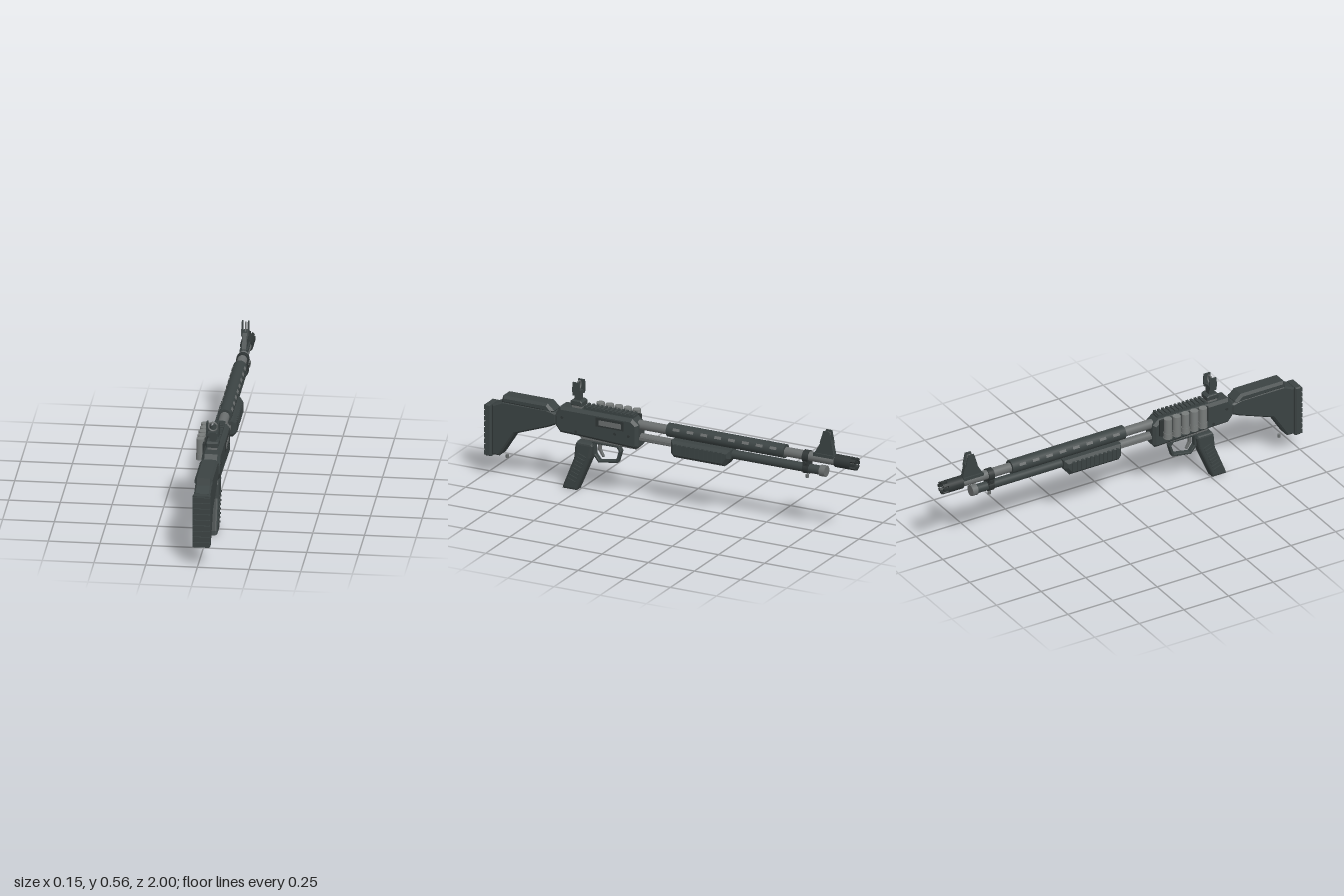
import * as THREE from 'three';

const CX = 0.018; // centre plane of the body
const mat = (name, color) => {
  const m = new THREE.MeshStandardMaterial({ color });
  m.name = name;
  return m;
};

export function createModel() {
  const root = new THREE.Group();
  const body = mat('darkPolymer', 0x3b4343);
  const dark = mat('blackSteel', 0x2f3535);
  const steel = mat('greySteel', 0x6a6e6e);
  const shellGrey = mat('shellGrey', 0x787c7b);

  const add = (name, geo, m, x = 0, y = 0, z = 0, parent = root) => {
    const mesh = new THREE.Mesh(geo, m);
    mesh.name = name;
    mesh.position.set(x, y, z);
    parent.add(mesh);
    return mesh;
  };
  const group = (name) => {
    const g = new THREE.Group();
    g.name = name;
    root.add(g);
    return g;
  };
  const box = (name, m, sx, sy, sz, x, y, z, parent) =>
    add(name, new THREE.BoxGeometry(sx, sy, sz), m, x, y, z, parent);
  // round bar along z, from z0 to z1
  const bar = (name, m, r, z0, z1, y, x = CX, parent = root, sides = 24) =>
    add(name, new THREE.CylinderGeometry(r, r, Math.abs(z1 - z0), sides).rotateX(Math.PI / 2), m, x, y, (z0 + z1) / 2, parent);
  // side outline of [z, y] points, extruded across x with bevelled edges
  const slab = (name, m, pts, width, bevel = 0, x = CX, parent = root, hole = null, segs = 1) => {
    const shape = new THREE.Shape(pts.map((p) => new THREE.Vector2(...p)));
    if (hole) shape.holes.push(new THREE.Path(hole.map((p) => new THREE.Vector2(...p))));
    const geo = new THREE.ExtrudeGeometry(shape, {
      depth: width - 2 * bevel, bevelEnabled: bevel > 0, bevelSize: bevel,
      bevelThickness: bevel, bevelOffset: -bevel, bevelSegments: segs, curveSegments: 8,
    });
    geo.translate(0, 0, -(width - 2 * bevel) / 2).rotateY(-Math.PI / 2);
    return add(name, geo, m, x, 0, 0, parent);
  };

  // Stock, cheek rest and ribbed butt pad
  const stock = group('stock');
  slab('stockBody', body, [[0.96, 0.11], [0.96, 0.365], [0.9, 0.392], [0.66, 0.392], [0.61, 0.38],
    [0.61, 0.325], [0.65, 0.305], [0.84, 0.235], [0.92, 0.11]], 0.08, 0.008, CX, stock);
  slab('cheekRest', body, [[0.91, 0.385], [0.9, 0.422], [0.66, 0.422], [0.625, 0.39], [0.63, 0.38]], 0.087, 0.012, CX, stock);
  slab('buttPad', body, [[0.962, 0.1], [0.962, 0.365], [0.993, 0.365], [0.993, 0.1]], 0.087, 0.006, CX, stock);
  for (let i = 0; i < 9; i++) box('padRib', body, 0.085, 0.022, 0.012, CX, 0.116 + i * 0.029, 0.994, stock);
  add('rearSlingStud', new THREE.CylinderGeometry(0.008, 0.008, 0.016, 12), steel, CX, 0.1, 0.895, stock);

  // Receiver with ejection port, lower plate and pins
  const receiver = group('receiver');
  slab('receiverBody', body, [[0.62, 0.325], [0.62, 0.375], [0.59, 0.422], [0.2, 0.422], [0.168, 0.395],
    [0.168, 0.285], [0.18, 0.272], [0.48, 0.285], [0.59, 0.288]], 0.09, 0.014, CX, receiver);
  slab('lowerPlate', steel, [[0.51, 0.29], [0.475, 0.267], [0.185, 0.265], [0.175, 0.285]], 0.05, 0.004, CX, receiver);
  const side = CX + 0.045;
  box('portFrame', dark, 0.006, 0.046, 0.15, side, 0.38, 0.317, receiver);
  box('bolt', steel, 0.008, 0.026, 0.12, side, 0.378, 0.315, receiver);
  for (const s of [-1, 1]) {
    for (const [z, y] of [[0.575, 0.37], [0.29, 0.335], [0.215, 0.335], [0.5, 0.31]]) {
      add('pin', new THREE.CylinderGeometry(0.007, 0.007, 0.006, 12).rotateZ(Math.PI / 2), dark, CX + s * 0.045, y, z, receiver);
    }
  }

  // Top rail
  const rail = group('topRail');
  box('railBase', body, 0.045, 0.014, 0.27, CX, 0.426, 0.335, rail);
  for (let i = 0; i < 12; i++) box('railTooth', body, 0.052, 0.01, 0.012, CX, 0.436, 0.21 + i * 0.0228, rail);

  // Rear ring sight with side wings
  const rear = group('rearSight');
  slab('sightBase', body, [[0.54, 0.435], [0.54, 0.455], [0.53, 0.462], [0.485, 0.462], [0.475, 0.455], [0.475, 0.435]], 0.06, 0.004, CX, rear);
  box('sightFoot', steel, 0.045, 0.025, 0.05, CX, 0.428, 0.508, rear);
  box('sightPost', body, 0.032, 0.05, 0.03, CX, 0.483, 0.508, rear);
  box('wingBridge', body, 0.06, 0.012, 0.03, CX, 0.495, 0.508, rear);
  add('ring', new THREE.TorusGeometry(0.0215, 0.004, 8, 28), steel, CX, 0.532, 0.508, rear);
  for (const s of [-1, 1]) {
    slab('wing', body, [[0.525, 0.487], [0.528, 0.515], [0.525, 0.555], [0.49, 0.555], [0.487, 0.515], [0.49, 0.487]], 0.007, 0, CX + s * 0.028, rear);
  }

  // Barrel, vented heat shield and toothed muzzle
  const barrel = group('barrel');
  bar('barrelTube', steel, 0.0235, 0.18, -0.9, 0.388, CX, barrel);
  bar('heatShield', body, 0.034, 0.02, -0.615, 0.39, CX, barrel);
  for (const s of [-1, 1]) {
    for (let i = 0; i < 8; i++) {
      const a = 0.48;
      const slot = box('ventSlot', steel, 0.004, 0.014, 0.036, CX + s * 0.033 * Math.cos(a), 0.39 + 0.033 * Math.sin(a), -0.035 - i * 0.075, barrel);
      slot.rotation.z = s * a;
    }
  }
  bar('muzzleBrake', dark, 0.032, -0.888, -0.972, 0.39, CX, barrel);
  bar('bore', steel, 0.016, -0.97, -0.975, 0.39, CX, barrel);
  for (let i = 0; i < 8; i++) {
    const a = (i / 8) * Math.PI * 2;
    const tooth = box('muzzleTooth', dark, 0.012, 0.014, 0.032, CX + 0.025 * Math.cos(a), 0.39 + 0.025 * Math.sin(a), -0.984, barrel);
    tooth.rotation.z = a;
  }

  // Front sight: tapered tower, two ears and a centre blade
  const front = group('frontSight');
  slab('tower', body, [[-0.768, 0.405], [-0.815, 0.485], [-0.868, 0.485], [-0.885, 0.405]], 0.026, 0.003, CX, front);
  box('towerFoot', body, 0.04, 0.018, 0.11, CX, 0.407, -0.827, front);
  box('blade', steel, 0.005, 0.045, 0.02, CX, 0.507, -0.845, front);
  for (const s of [-1, 1]) {
    slab('ear', body, [[-0.805, 0.47], [-0.825, 0.535], [-0.857, 0.535], [-0.87, 0.47]], 0.006, 0, CX + s * 0.0145, front);
  }

  // Magazine tube, action bars, cap and barrel clamp
  const mag = group('magazine');
  bar('rearTube', steel, 0.02, 0.18, -0.02, 0.325, CX, mag);
  bar('frontTube', body, 0.0225, -0.02, -0.81, 0.325, CX, mag);
  bar('tubeCap', steel, 0.028, -0.805, -0.835, 0.325, CX, mag);
  for (const s of [-1, 1]) box('actionBar', steel, 0.005, 0.014, 0.2, CX + s * 0.024, 0.325, 0.08, mag);
  bar('barrelClampRing', dark, 0.031, -0.715, -0.745, 0.385, CX, mag);
  bar('tubeClampRing', dark, 0.029, -0.715, -0.745, 0.327, CX, mag);
  box('clampWeb', dark, 0.05, 0.07, 0.028, CX, 0.355, -0.73, mag);
  for (const s of [-1, 1]) {
    add('clampScrew', new THREE.CylinderGeometry(0.009, 0.009, 0.01, 10).rotateZ(Math.PI / 2), dark, CX + s * 0.028, 0.357, -0.73, mag);
  }
  add('frontSlingStud', new THREE.CylinderGeometry(0.008, 0.008, 0.016, 12), steel, CX, 0.283, -0.73, mag);

  // Pump grip with upright ribs
  const pump = group('pump');
  slab('pumpBody', body, [[-0.01, 0.285], [-0.01, 0.352], [-0.33, 0.352], [-0.33, 0.31], [-0.3, 0.268], [-0.025, 0.268]], 0.098, 0.016, CX, pump);
  for (const s of [-1, 1]) {
    for (let i = 0; i < 11; i++) box('pumpRib', body, 0.014, 0.054, 0.012, CX + s * 0.0465, 0.314, -0.04 - i * 0.0245, pump);
  }

  // Pistol grip with slanted ribs
  const grip = group('pistolGrip');
  slab('gripBody', body, [[0.515, 0.235], [0.505, 0.253], [0.425, 0.253], [0.418, 0.24], [0.432, 0.175],
    [0.507, 0], [0.585, 0], [0.58, 0.02], [0.522, 0.165]], 0.063, 0.014, CX, grip, null, 3);
  for (const s of [-1, 1]) {
    for (let i = 0; i < 8; i++) {
      const t = i / 7;
      const rib = box('gripRib', body, 0.008, 0.009, 0.042, CX + s * 0.0325, 0.185 - 0.135 * t, 0.474 + 0.056 * t, grip);
      rib.rotation.x = -0.35;
    }
  }

  // Trigger and guard
  slab('triggerGuard', body, [[0.43, 0.262], [0.285, 0.262], [0.272, 0.235], [0.29, 0.175], [0.395, 0.158], [0.425, 0.195]],
    0.028, 0.002, CX, root,
    [[0.415, 0.252], [0.297, 0.252], [0.285, 0.235], [0.3, 0.186], [0.39, 0.17], [0.413, 0.2]]);
  slab('trigger', steel, [[0.405, 0.27], [0.38, 0.27], [0.385, 0.225], [0.368, 0.19], [0.378, 0.188], [0.4, 0.22]], 0.014, 0.002);

  // Side shell carrier
  const shells = group('shellCarrier');
  box('carrierPlate', dark, 0.012, 0.085, 0.27, -0.031, 0.38, 0.33, shells);
  for (let i = 0; i < 5; i++) {
    const z = 0.23 + i * 0.049;
    add('shellHull', new THREE.CylinderGeometry(0.02, 0.02, 0.076, 24), shellGrey, -0.052, 0.398, z, shells);
    add('shellBase', new THREE.CylinderGeometry(0.021, 0.021, 0.028, 24), shellGrey, -0.052, 0.346, z, shells);
    add('shellRim', new THREE.CylinderGeometry(0.0225, 0.0225, 0.005, 24), shellGrey, -0.051, 0.331, z, shells);
  }

  return root;
}
